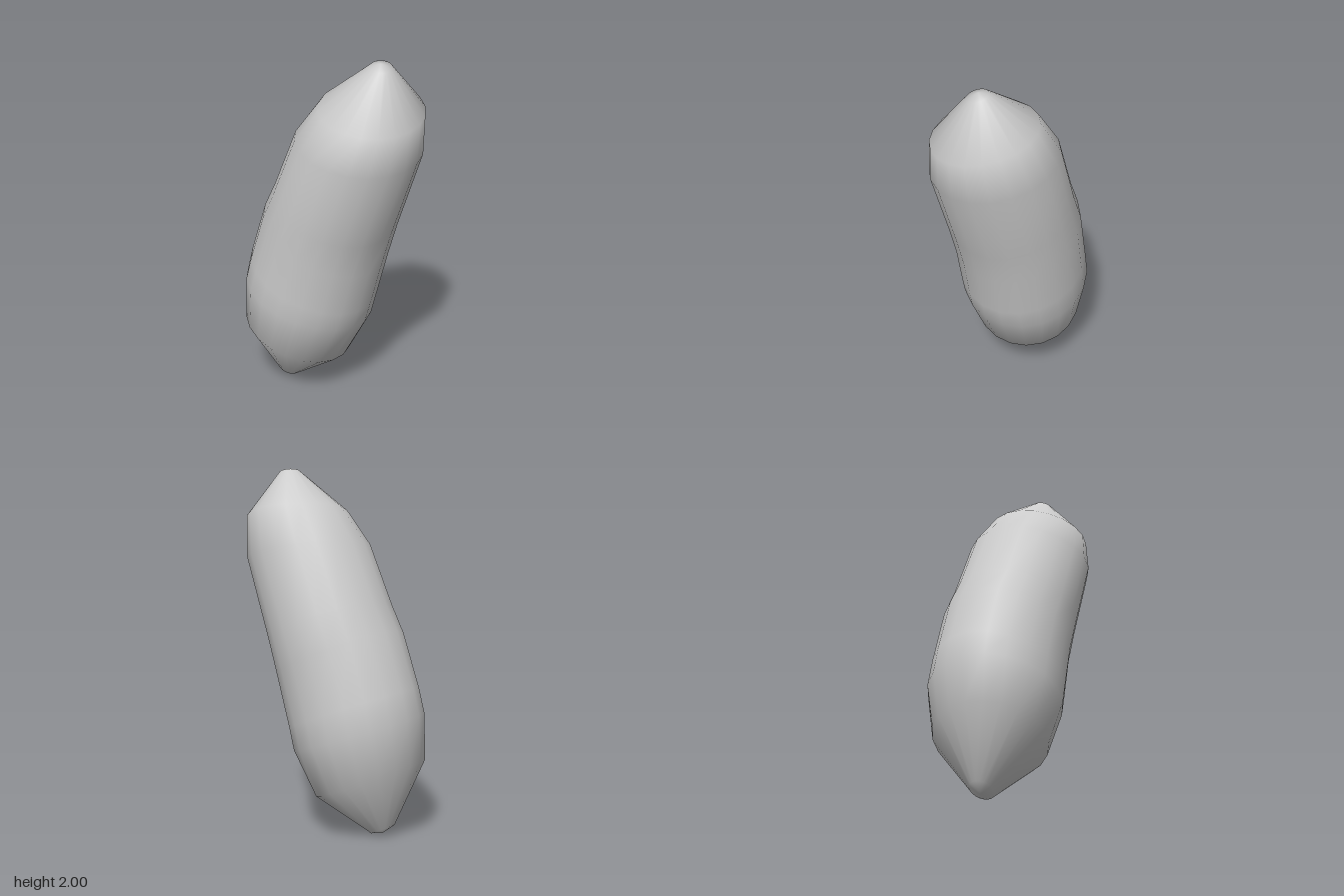
import * as THREE from 'three';

const SIDES = 20;

// Each ring: centre x, y, z, then half-axis toward +x (ax, ay) and half-axis toward +z (by, bz)
const RINGS = [
  [-0.31, 0.01, 0.07, 0, 0, 0, 0], // bottom pole
  [-0.305, 0.03, 0.075, 0.065, -0.03, 0.005, 0.065],
  [-0.23, 0.315, 0.055, 0.29, -0.105, 0.04, 0.315],
  [-0.168, 0.57, 0.025, 0.357, -0.11, 0.04, 0.365],
  [-0.135, 0.70, 0.017, 0.355, -0.13, 0.03, 0.362],
  [-0.055, 0.98, -0.005, 0.335, -0.16, 0.005, 0.365],
  [0.015, 1.155, -0.013, 0.325, -0.135, -0.005, 0.362],
  [0.165, 1.545, -0.035, 0.335, -0.075, -0.025, 0.352],
  [0.25, 1.75, -0.042, 0.27, -0.06, -0.04, 0.293],
  [0.305, 1.985, -0.05, 0.055, -0.015, -0.01, 0.06],
  [0.30, 2.0, -0.05, 0, 0, 0, 0], // top pole
];

// Smooth closed skin lofted through the tilted elliptical rings
function loft(rings) {
  const positions = [];
  const index = [];
  const last = rings.length - 1;
  const vertex = (r, s) =>
    r === 0 ? 0 : r === last ? 1 + (last - 1) * SIDES : 1 + (r - 1) * SIDES + (s % SIDES);

  rings.forEach(([cx, cy, cz, ax, ay, by, bz], r) => {
    const count = r === 0 || r === last ? 1 : SIDES;
    for (let s = 0; s < count; s++) {
      const t = (s / SIDES) * Math.PI * 2;
      const c = Math.cos(t);
      const k = Math.sin(t);
      positions.push(cx + ax * c, cy + ay * c + by * k, cz + bz * k);
    }
  });

  for (let r = 0; r < last; r++) {
    for (let s = 0; s < SIDES; s++) {
      const a = vertex(r, s), b = vertex(r, s + 1);
      const c = vertex(r + 1, s), d = vertex(r + 1, s + 1);
      if (r > 0) index.push(a, c, b);
      if (r < last - 1) index.push(b, c, d);
      // the pole fans collapse one of the two triangles
      if (r === 0) continue;
    }
  }

  const geometry = new THREE.BufferGeometry();
  geometry.setAttribute('position', new THREE.Float32BufferAttribute(positions, 3));
  geometry.setIndex(index);
  geometry.computeVertexNormals();
  return geometry;
}

export function createModel() {
  const group = new THREE.Group();
  group.name = 'leaningCapsule';
  const body = new THREE.Mesh(loft(RINGS), new THREE.MeshStandardMaterial({ color: 0xcccccc }));
  body.name = 'body';
  group.add(body);
  return group;
}
